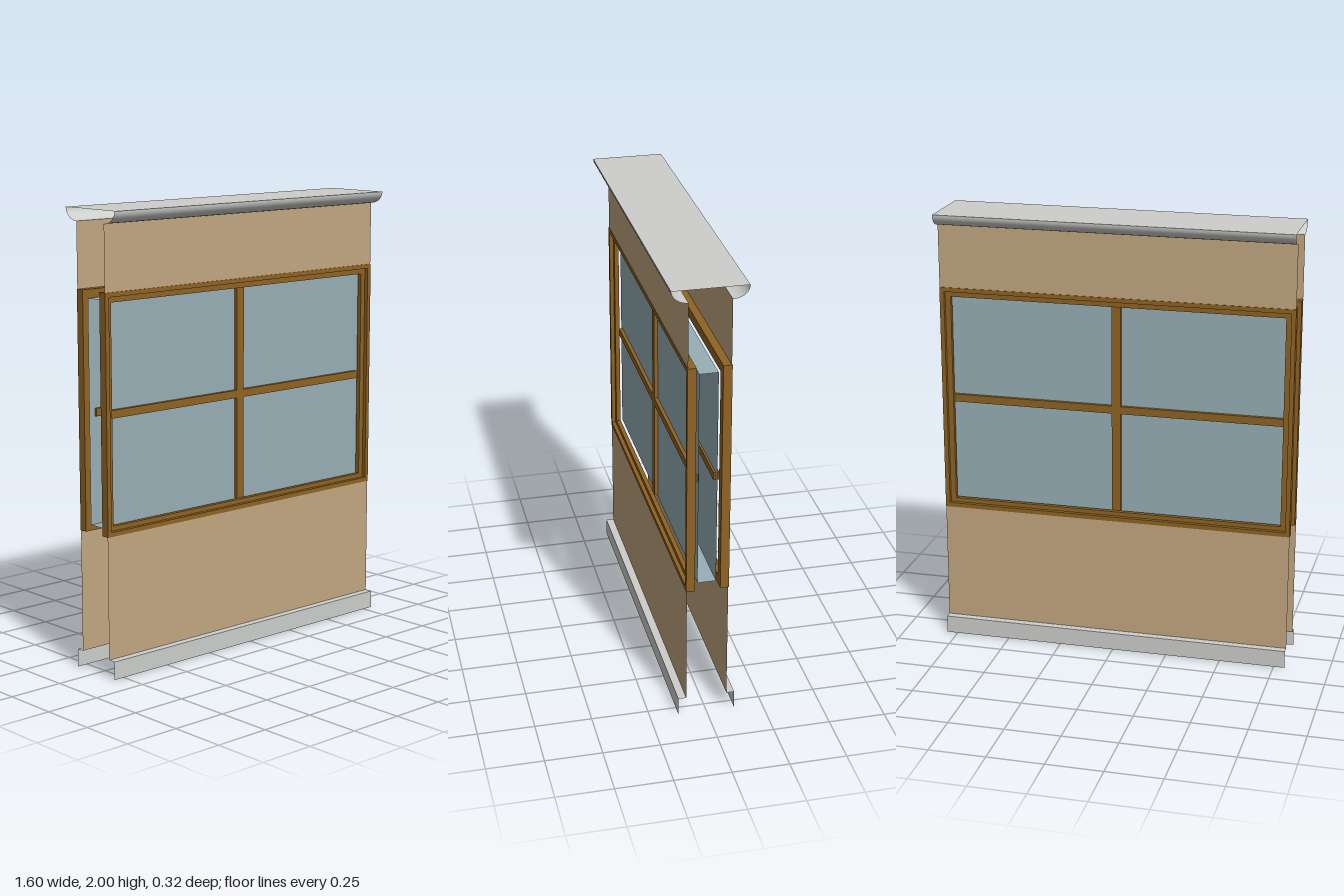
import * as THREE from 'three';

const W = 1.6; // overall width

const material = (name, color) => {
  const m = new THREE.MeshStandardMaterial({ color, side: THREE.DoubleSide });
  m.name = name;
  return m;
};

// Thin sheet: a profile of [z, y] points swept across the width
function sheet(profile, width = W) {
  const position = [], index = [];
  profile.forEach(([z, y], i) => {
    position.push(-width / 2, y, z, width / 2, y, z);
    if (i) {
      const a = 2 * i - 2;
      index.push(a, a + 2, a + 1, a + 1, a + 2, a + 3);
    }
  });
  const g = new THREE.BufferGeometry();
  g.setAttribute('position', new THREE.Float32BufferAttribute(position, 3));
  g.setIndex(index);
  g.computeVertexNormals();
  return g;
}

// Rectangular ring in the xy plane, extruded from z0 to z1
function ring(x, y0, y1, ix, iy0, iy1, z0, z1) {
  const corners = (hx, a, b) => [[-hx, a], [hx, a], [hx, b], [-hx, b]].map(([px, py]) => new THREE.Vector2(px, py));
  const shape = new THREE.Shape(corners(x, y0, y1));
  shape.holes.push(new THREE.Path(corners(ix, iy0, iy1)));
  const g = new THREE.ExtrudeGeometry(shape, { depth: z1 - z0, bevelEnabled: false });
  g.translate(0, 0, z0);
  return g;
}

export function createModel() {
  const wall = material('tan wall', 0xc3a780);
  const metal = material('light grey trim', 0xcdcfcb);
  const wood = material('brown wood', 0x8f6322);
  const glass = material('blue grey glass', 0x97afb6);

  const model = new THREE.Group();
  model.name = 'windowWall';
  const add = (parent, name, geometry, mat, x = 0, y = 0, z = 0) => {
    const mesh = new THREE.Mesh(geometry, mat);
    mesh.name = name;
    mesh.position.set(x, y, z);
    parent.add(mesh);
  };

  // Quarter-round lip under the cap, from the outer edge in to the wall
  const lip = [];
  for (let i = 0; i <= 12; i++) {
    const a = (i / 12) * Math.PI / 2;
    lip.push([0.09 + 0.07 * Math.cos(a), 2 - 0.055 * Math.sin(a)]);
  }

  // The two faces of the hollow wall are alike
  ['front', 'back'].forEach((name, i) => {
    const side = new THREE.Group();
    side.name = name + 'Side';
    side.rotation.y = i * Math.PI;
    model.add(side);

    add(side, 'upperWall', sheet([[0.09, 1.945], [0.09, 1.66]]), wall);
    add(side, 'lowerWall', sheet([[0.09, 0.62], [0.09, 0.08]]), wall);
    add(side, 'capLip', sheet(lip), metal);
    add(side, 'baseboardTop', sheet([[0.09, 0.08], [0.125, 0.08]]), metal);
    add(side, 'baseboardFace', sheet([[0.125, 0.08], [0.125, 0]]), metal);

    // Stepped window casing
    add(side, 'outerCasing', ring(0.8, 0.62, 1.66, 0.78, 0.64, 1.64, 0.055, 0.093), wood);
    add(side, 'innerCasing', ring(0.78, 0.64, 1.64, 0.755, 0.66, 1.615, 0.055, 0.075), wood);

    // Glazing and its horizontal bar
    add(side, 'glass', sheet([[0.04, 1.625], [0.04, 0.65]], 1.57), glass);
    add(side, 'horizontalBar', new THREE.BoxGeometry(1.51, 0.035, 0.025), wood, 0, 1.137, 0.0435);
  });

  // Shared parts between the two faces
  add(model, 'capTop', sheet([[-0.16, 2], [0.16, 2]]), metal);
  add(model, 'verticalBar', new THREE.BoxGeometry(0.04, 0.955, 0.112), wood, 0, 1.1375, 0);
  for (const y of [0.65, 1.625]) {
    add(model, 'glassEdge', sheet([[-0.04, y], [0.04, y]], 1.57), glass);
  }
  return model;
}
